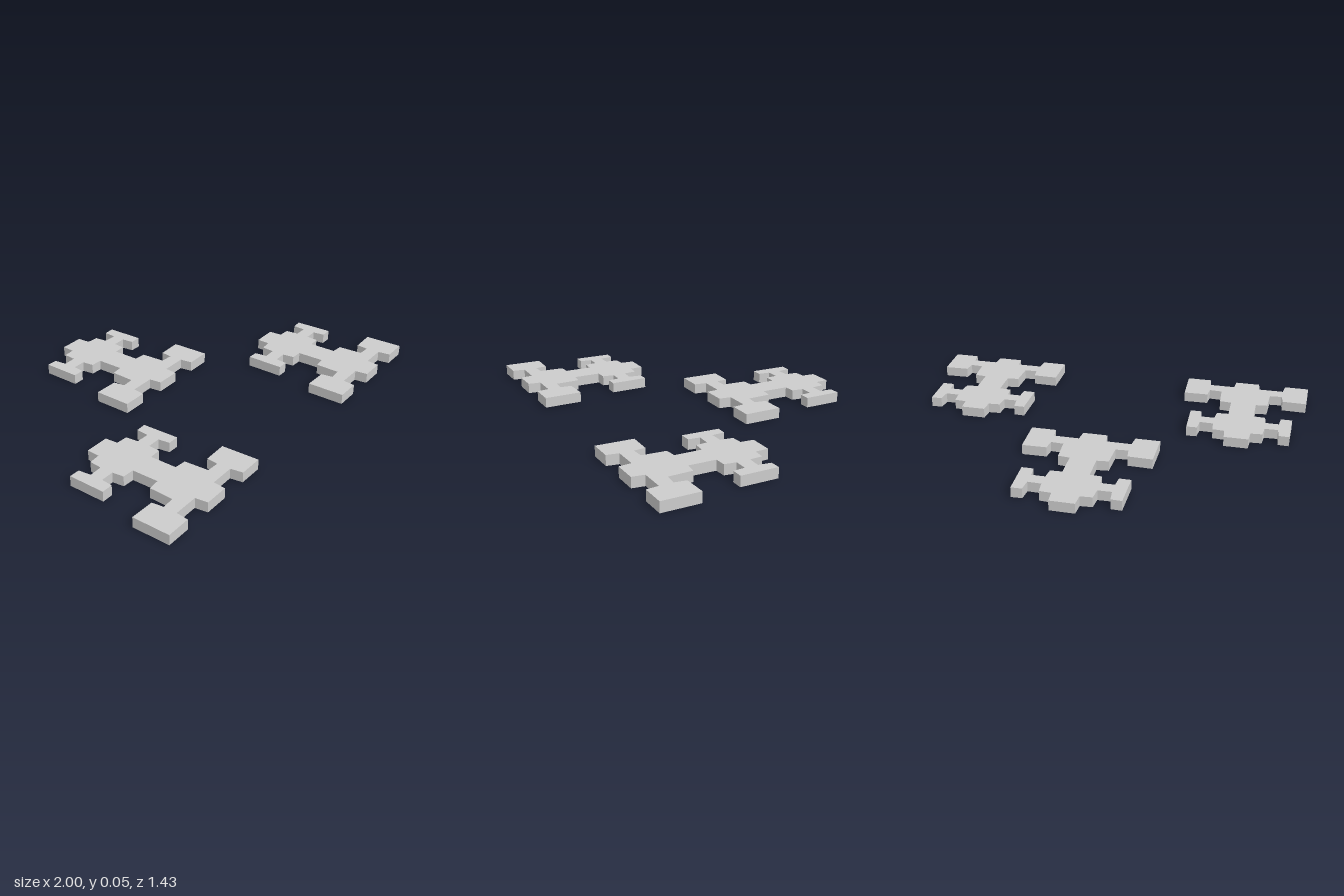
import * as THREE from 'three';

const THICKNESS = 0.05;

// Right half of the outline, from the top tab down to the bottom tab: [x, distance from the back]
const HALF = [
  [0.06, 0], [0.064, 0.064],                                  // top tab
  [0.122, 0.068], [0.128, 0.13], [0.194, 0.132],              // upper body, arm
  [0.2, 0.07], [0.253, 0.068], [0.257, 0.252],                // hand
  [0.2, 0.252], [0.194, 0.195], [0.128, 0.195],               // hand, underside of arm
  [0.122, 0.252], [0.064, 0.255], [0.064, 0.387],             // neck
  [0.122, 0.393], [0.128, 0.512], [0.19, 0.516],              // lower body, leg
  [0.197, 0.459], [0.318, 0.456], [0.322, 0.642],             // foot
  [0.2, 0.642], [0.192, 0.582], [0.068, 0.582], [0.061, 0.643], // underside of leg, bottom tab
];

function pieceGeometry() {
  const right = HALF.map(([x, d]) => new THREE.Vector2(x, -d));
  const left = HALF.map(([x, d]) => new THREE.Vector2(-x, -d)).reverse();
  const geometry = new THREE.ExtrudeGeometry(new THREE.Shape([...right, ...left]), {
    depth: THICKNESS,
    bevelEnabled: false,
  });
  return geometry.rotateX(-Math.PI / 2); // lay flat
}

export function createModel() {
  const group = new THREE.Group();
  group.name = 'flatPieces';
  const material = new THREE.MeshStandardMaterial({ color: 0xcccccc, flatShading: true });
  const geometry = pieceGeometry();

  // Three identical tiles, placed by the middle of their back edge
  const places = [
    ['backPiece', -0.004, -0.714],
    ['frontRightPiece', -0.678, 0.041],
    ['frontLeftPiece', 0.678, 0.07],
  ];
  for (const [name, x, z] of places) {
    const piece = new THREE.Mesh(geometry, material);
    piece.name = name;
    piece.position.set(x, 0, z);
    group.add(piece);
  }
  return group;
}
